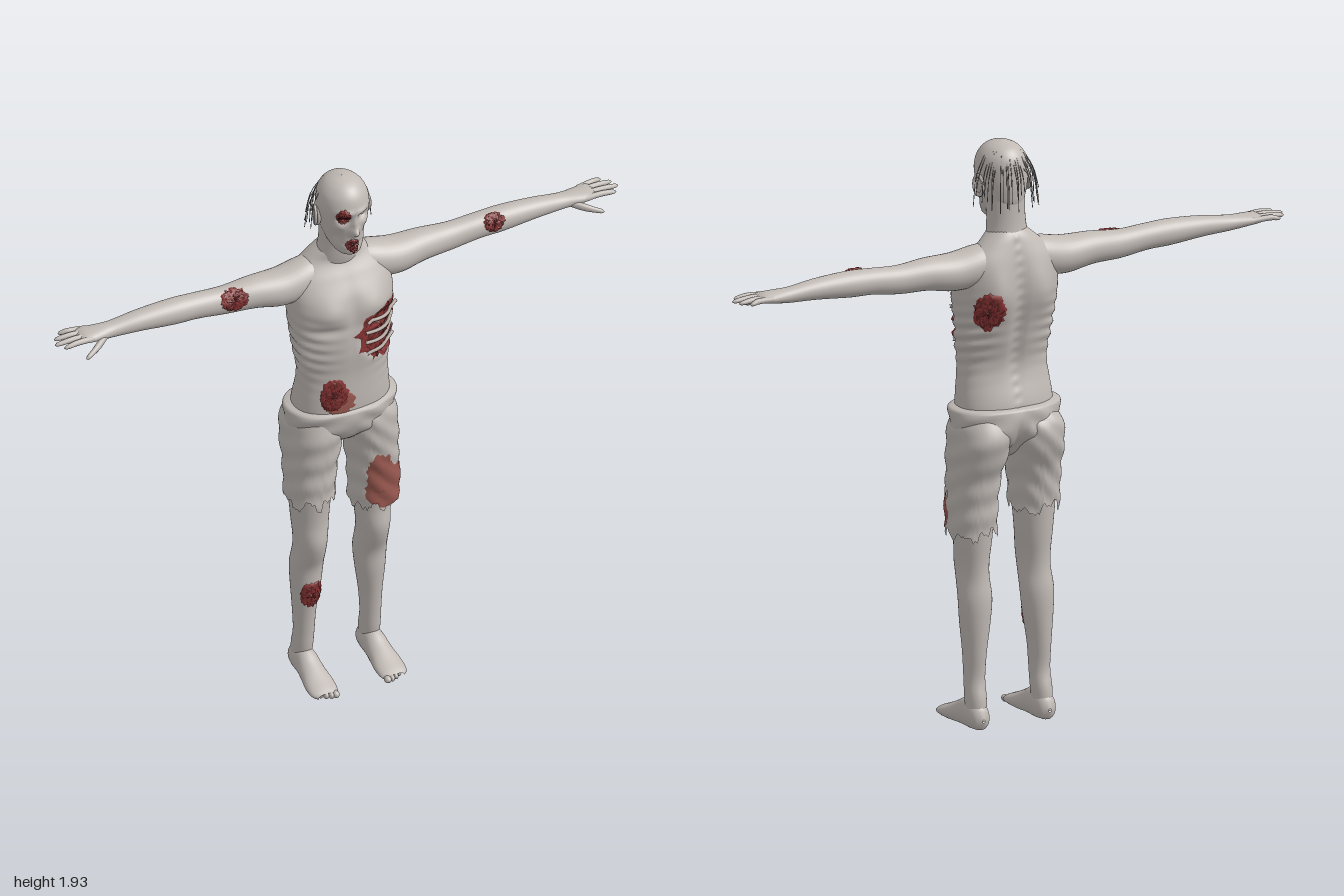
import * as THREE from 'three';

const mat = (name, color, side = THREE.FrontSide) => {
  const m = new THREE.MeshStandardMaterial({ color, side });
  m.name = name;
  return m;
};
const hash = (i) => { const v = Math.sin(i * 12.9898 + 4.1) * 43758.5453; return v - Math.floor(v); };
const gauss = (x, y, cx, cy, sx, sy) => Math.exp(-(((x - cx) / sx) ** 2) - ((y - cy) / sy) ** 2);
const spow = (v, e) => Math.sign(v) * Math.abs(v) ** e;

// Smooth interpolation of the section rows [t, centre1, centre2, radius1, radius2]
function sample(rows, t) {
  let i = 0;
  while (i < rows.length - 2 && t > rows[i + 1][0]) i++;
  const a = rows[i], b = rows[i + 1], p = rows[Math.max(i - 1, 0)], q = rows[Math.min(i + 2, rows.length - 1)];
  const h = b[0] - a[0], u = (t - a[0]) / h, u2 = u * u, u3 = u2 * u;
  return [1, 2, 3, 4].map((k) => {
    const m0 = (b[k] - p[k]) / (b[0] - p[0]) * h, m1 = (q[k] - a[k]) / (q[0] - a[0]) * h;
    return (2 * u3 - 3 * u2 + 1) * a[k] + (u3 - 2 * u2 + u) * m0 + (3 * u2 - 2 * u3) * b[k] + (u3 - u2) * m1;
  });
}

// Surface function (t, angle) -> point, running along x, y or z; s mirrors it
function surface(rows, axis, s = 1, e = 1, shape = null) {
  const f = (t, a) => {
    const [c1, c2, r1, r2] = sample(rows, t);
    const c = spow(Math.cos(a), e), n = spow(Math.sin(a), e);
    const R1 = Math.max(r1, 0.0005), R2 = Math.max(r2, 0.0005);
    const p = axis === 'y' ? new THREE.Vector3(s * c1 + R1 * c, t, c2 + R2 * n)
      : axis === 'x' ? new THREE.Vector3(s * t, c1 + R1 * n, c2 + R2 * c)
        : new THREE.Vector3(s * c1 + R1 * c, c2 + R2 * n, t);
    if (shape) shape(p, a);
    return p;
  };
  f.range = [rows[0][0], rows[rows.length - 1][0]];
  f.flip = axis === 'z' || (axis === 'x' && s < 0);
  f.normal = (t, a) => {
    const d = 0.004;
    const n = f(t + d, a).sub(f(t - d, a)).cross(f(t, a + d).sub(f(t, a - d))).normalize();
    return f.flip ? n.negate() : n;
  };
  return f;
}

// Grid of points closed around the second direction
function gridMesh(name, material, fn, nu, na, flip) {
  const pos = [], idx = [];
  for (let i = 0; i <= nu; i++) for (let j = 0; j < na; j++) pos.push(...fn(i / nu, j, na).toArray());
  for (let i = 0; i < nu; i++) for (let j = 0; j < na; j++) {
    const k = (j + 1) % na, a = i * na + j, b = a + na, c = i * na + k, d = c + na;
    if (flip) idx.push(a, c, b, b, c, d); else idx.push(a, b, c, b, d, c);
  }
  const g = new THREE.BufferGeometry();
  g.setAttribute('position', new THREE.Float32BufferAttribute(pos, 3));
  g.setIndex(idx);
  g.computeVertexNormals();
  const m = new THREE.Mesh(g, material);
  m.name = name;
  return m;
}
const loft = (name, material, f, nu = 40, na = 40) => gridMesh(name, material,
  (u, j, n) => f(f.range[0] + (f.range[1] - f.range[0]) * u, j / n * Math.PI * 2), nu, na, f.flip);

// Ragged patch lying on a surface
function patch(name, material, f, t0, a0, rt, ra, seed, low = 0.003, bump = 0.004, rough = 0.25) {
  return gridMesh(name, material, (u, j, n) => {
    const th = j / n * Math.PI * 2, k = u * (1 - rough * hash(j + seed * 50) * u);
    const t = t0 + rt * k * Math.sin(th), a = a0 + ra * k * Math.cos(th);
    const h = u === 1 ? low - 0.002 : low + bump * (u === 0 ? 0.5 : hash(j * 7 + Math.round(u * 9) * 131 + seed));
    return f(t, a).addScaledVector(f.normal(t, a), h);
  }, 9, 40, !f.flip);
}

export function createModel() {
  const root = new THREE.Group();
  root.name = 'undeadMan';
  const skin = mat('paleSkin', 0xc0b9b4), cloth = mat('shortsCloth', 0xbfb9b4, THREE.DoubleSide);
  const red = mat('woundRed', 0x873434), dark = mat('woundDark', 0x662424), stain = mat('bloodStain', 0x98584f);
  const bone = mat('ribBone', 0xb0a29c), hairMat = mat('hairGrey', 0x96908b), eyeMat = mat('cloudedWhite', 0xcac4bd);
  const add = (...m) => root.add(...m);
  const tube = (name, material, pts, r, seg = 10, sides = 8) => {
    const m = new THREE.Mesh(new THREE.TubeGeometry(new THREE.CatmullRomCurve3(pts), seg, r, sides), material);
    m.name = name;
    return m;
  };
  const blob = (name, material, x, y, z, sx, sy, sz) => {
    const m = new THREE.Mesh(new THREE.SphereGeometry(1, 16, 12), material);
    m.position.set(x, y, z);
    m.scale.set(sx, sy, sz);
    m.name = name;
    return m;
  };
  const wound = (name, f, t, a, rt, ra, seed) => add(
    patch(name, red, f, t, a, rt, ra, seed),
    patch(name + 'Clots', dark, f, t, a, rt * 0.92, ra * 0.92, seed + 3, 0.001, 0.0075));

  // Torso with chest, ribs, shoulder blades, spine and a sunken wound
  const torsoShape = (p, a) => {
    const { x, y } = p, ax = Math.abs(x), front = Math.max(0, Math.sin(a)), back = Math.max(0, -Math.sin(a));
    p.z += front * (0.016 * gauss(ax, y, 0.085, 1.46, 0.055, 0.04) - 0.006 * gauss(x, y, 0, 1.42, 0.02, 0.12)
      - 0.01 * gauss(ax, y, 0.09, 1.395, 0.06, 0.018));
    p.z -= back * (0.022 * gauss(ax, y, 0.085, 1.46, 0.05, 0.08) - 0.014 * gauss(x, y, 0, 1.35, 0.022, 0.22)
      + 0.004 * gauss(x, 0, 0, 0, 0.008, 1) * (0.5 + 0.5 * Math.sin(y * 170)));
    const band = gauss(0, y, 0, 1.31, 1, 0.1) * Math.min(1, ax / 0.14) ** 2;
    const w = 0.004 * band * Math.sin(y * 150 + Math.sin(a) * 4);
    p.x += w * Math.cos(a);
    p.z += w * Math.sin(a);
    const d = ((y - 1.34) / 0.1) ** 2 + ((a - 0.83) / 0.7) ** 2;
    if (d < 1) {
      const k = 0.016 * Math.min(1, (1 - d) * 2.5);
      p.x -= k * Math.cos(a);
      p.z -= k * Math.sin(a);
    }
  };
  const torso = surface([[1.0, 0, -0.015, 0.16, 0.1], [1.07, 0, -0.014, 0.165, 0.106], [1.2, 0, 0, 0.154, 0.09],
    [1.3, 0, -0.005, 0.165, 0.104], [1.42, 0, -0.017, 0.178, 0.115], [1.5, 0, -0.025, 0.178, 0.107],
    [1.56, 0, -0.04, 0.165, 0.085], [1.61, 0, -0.05, 0.11, 0.062], [1.645, 0, -0.042, 0.07, 0.056],
    [1.67, 0, -0.035, 0.04, 0.04]], 'y', 1, 0.9, torsoShape);
  add(loft('torso', skin, torso, 90, 96));

  // Chest wound with bare ribs across it
  wound('chestWound', torso, 1.34, 0.83, 0.117, 0.8, 5);
  for (let i = 0; i < 4; i++) {
    const pts = [];
    for (let k = 0; k <= 6; k++) {
      const a = 0.25 + k * 0.19, y = 1.285 + i * 0.038 - 0.014 * Math.sin(k / 6 * Math.PI);
      pts.push(torso(y, a).add(new THREE.Vector3(Math.cos(a), 0, Math.sin(a)).multiplyScalar(0.011)));
    }
    add(tube('bareRib', bone, pts, 0.006, 20));
  }
  wound('backWound', torso, 1.405, -0.95, 0.072, 0.38, 11);
  add(patch('bellyStain', stain, torso, 1.105, 1.85, 0.055, 0.32, 8, 0.0025, 0));
  wound('bellyWound', torso, 1.14, 1.98, 0.07, 0.36, 17);

  // Neck
  add(loft('neck', skin, surface([[1.56, 0, -0.055, 0.09, 0.06], [1.62, 0, -0.038, 0.073, 0.06],
    [1.68, 0, -0.03, 0.064, 0.059], [1.76, 0, -0.025, 0.064, 0.06]], 'y'), 16, 32));

  // Head and face
  const headShape = (p, a) => {
    if (Math.sin(a) <= 0) return;
    const { x, y } = p, ax = Math.abs(x);
    p.z += Math.sin(a) * (0.026 * gauss(x, y, 0, 1.772, 0.014, 0.016) + 0.012 * gauss(x, y, 0, 1.8, 0.01, 0.025)
      - 0.022 * gauss(ax, y, 0.035, 1.822, 0.018, 0.014) + 0.007 * gauss(ax, y, 0.03, 1.848, 0.03, 0.01)
      + 0.008 * gauss(ax, y, 0.05, 1.79, 0.016, 0.014) - 0.012 * gauss(ax, y, 0.052, 1.745, 0.018, 0.022)
      + 0.006 * gauss(x, y, 0, 1.692, 0.022, 0.012) - 0.008 * gauss(x, y, 0, 1.722, 0.024, 0.007));
  };
  const head = surface([[1.67, 0, 0.05, 0.008, 0.01], [1.678, 0, 0.046, 0.034, 0.036], [1.7, 0, 0.025, 0.052, 0.065],
    [1.73, 0, 0.006, 0.064, 0.086], [1.78, 0, 0, 0.076, 0.092], [1.84, 0, 0.003, 0.084, 0.096],
    [1.885, 0, 0.001, 0.077, 0.088], [1.915, 0, 0, 0.056, 0.066], [1.93, 0, 0, 0.03, 0.036],
    [1.936, 0, 0, 0.001, 0.001]], 'y', 1, 1, headShape);
  add(loft('head', skin, head, 90, 80));
  add(blob('eye', eyeMat, 0.035, 1.822, 0.062, 0.013, 0.011, 0.011));
  wound('eyeWound', head, 1.835, 2.02, 0.033, 0.3, 23);
  wound('mouthWound', head, 1.718, 1.66, 0.03, 0.4, 31);
  for (let i = -2; i <= 2; i++) add(blob('tooth', eyeMat, i * 0.008, 1.727, 0.092 - 0.002 * i * i, 0.0035, 0.006, 0.004));
  for (const s of [1, -1]) {
    add(blob('ear', skin, s * 0.083, 1.795, -0.01, 0.01, 0.036, 0.022));
    const rim = new THREE.Mesh(new THREE.TorusGeometry(0.022, 0.005, 8, 20), skin);
    rim.name = 'earRim';
    rim.position.set(s * 0.09, 1.8, -0.012);
    rim.rotation.y = Math.PI / 2 + s * 0.25;
    rim.scale.y = 1.45;
    add(rim);
  }

  // Sparse hanging hair
  for (let i = 0; i < 26; i++) {
    const a = -Math.PI * (0.04 + 0.92 * (i + hash(i)) / 26), y = 1.84 + 0.06 * hash(i + 90);
    const end = 1.72 + 0.08 * hash(i + 200), out = 0.008 + 0.03 * hash(i + 300);
    const dir = new THREE.Vector3(Math.cos(a), 0, Math.sin(a));
    const mid = head(1.835, a).addScaledVector(dir, 0.006 + out * 0.4);
    const pts = [head(y + 0.015, a), mid, new THREE.Vector3(mid.x, end, mid.z).addScaledVector(dir, out * 0.5)];
    add(tube('hairStrand', hairMat, pts, 0.0014, 8, 4));
  }

  // Arms, hands and fingers
  const armRows = [[0.03, 1.56, -0.05, 0.045, 0.04], [0.1, 1.55, -0.045, 0.064, 0.063], [0.2, 1.535, -0.04, 0.062, 0.066],
    [0.3, 1.542, -0.042, 0.053, 0.055], [0.4, 1.54, -0.045, 0.047, 0.044], [0.5, 1.549, -0.045, 0.043, 0.042],
    [0.58, 1.552, -0.045, 0.043, 0.043], [0.7, 1.554, -0.046, 0.034, 0.037], [0.8, 1.55, -0.047, 0.025, 0.031],
    [0.85, 1.552, -0.047, 0.021, 0.037], [0.9, 1.555, -0.049, 0.014, 0.042], [0.915, 1.556, -0.049, 0.004, 0.034]];
  const fingers = [[-0.08, -0.093, 0.962], [-0.06, -0.067, 0.988], [-0.038, -0.039, 0.998], [-0.017, -0.012, 0.978]];
  for (const s of [1, -1]) {
    const arm = surface(armRows, 'x', s);
    add(loft(s > 0 ? 'leftArm' : 'rightArm', skin, arm, 60, 32));
    if (s > 0) wound('leftArmWound', arm, 0.545, 0.5, 0.039, 0.9, 41);
    else wound('rightArmWound', arm, 0.378, 0.45, 0.052, 0.95, 47);
    for (const [z0, z1, tip] of fingers) {
      add(loft('finger', skin, surface([[0.87, 1.555, z0, 0.009, 0.009], [0.93, 1.558, (z0 + z1) / 2, 0.0095, 0.0095],
        [tip - 0.008, 1.554, z1, 0.0065, 0.0065], [tip, 1.553, z1, 0.001, 0.001]], 'x', s), 16, 12));
    }
    add(loft('thumb', skin, surface([[0.82, 1.545, -0.03, 0.012, 0.012], [0.855, 1.535, -0.006, 0.014, 0.013],
      [0.89, 1.525, 0.014, 0.01, 0.01], [0.912, 1.519, 0.024, 0.007, 0.007], [0.918, 1.518, 0.026, 0.001, 0.001]], 'x', s), 16, 14));
  }

  // Legs, feet and torn shorts
  const legRows = [[0.03, 0.12, -0.055, 0.03, 0.038], [0.1, 0.119, -0.046, 0.034, 0.042], [0.16, 0.118, -0.036, 0.034, 0.037],
    [0.25, 0.117, -0.035, 0.038, 0.045], [0.35, 0.114, -0.032, 0.049, 0.054], [0.43, 0.112, -0.029, 0.055, 0.057],
    [0.5, 0.111, -0.01, 0.051, 0.066], [0.55, 0.111, -0.004, 0.053, 0.071], [0.62, 0.11, -0.01, 0.06, 0.07],
    [0.75, 0.11, -0.01, 0.07, 0.078], [0.85, 0.108, -0.01, 0.07, 0.08]];
  const footRows = [[-0.104, 0.12, 0.035, 0.004, 0.006], [-0.095, 0.12, 0.038, 0.025, 0.032], [-0.06, 0.12, 0.045, 0.036, 0.05],
    [-0.01, 0.12, 0.045, 0.038, 0.052], [0.04, 0.121, 0.032, 0.043, 0.04], [0.09, 0.122, 0.022, 0.049, 0.027],
    [0.13, 0.122, 0.016, 0.045, 0.017], [0.146, 0.12, 0.014, 0.032, 0.011]];
  const shortRows = [[0.6, 0.112, -0.005, 0.079, 0.084], [0.75, 0.112, -0.008, 0.08, 0.091], [0.85, 0.108, -0.014, 0.085, 0.1],
    [0.93, 0.1, -0.025, 0.094, 0.118], [1.0, 0.094, -0.026, 0.092, 0.118], [1.055, 0.09, -0.018, 0.07, 0.09]];
  const folds = (p, a) => {
    const w = 0.0025 * Math.sin(p.y * 75 + Math.abs(p.x) * 45 + Math.sin(a * 2) * 2);
    p.x += w * Math.cos(a);
    p.z += w * Math.sin(a);
  };
  for (const s of [1, -1]) {
    const side = s > 0 ? 'left' : 'right';
    const leg = surface(legRows, 'y', s);
    add(loft(side + 'Leg', skin, leg, 50, 36));
    add(loft(side + 'Foot', skin, surface(footRows, 'z', s, 1, (p) => { p.y = Math.max(0.002, p.y); }), 40, 32));
    for (let i = 0; i < 5; i++) {
      add(blob('toe', skin, s * (0.092 + i * 0.0155), 0.013, 0.145 - i * i * 0.0022, i ? 0.009 : 0.012, 0.012, 0.015));
    }
    if (s < 0) wound('shinWound', leg, 0.33, Math.PI / 2, 0.056, 0.95, 53);

    const short = surface(shortRows, 'y', s, 0.92, folds);
    const base = s > 0 ? 0.615 : 0.675;
    add(gridMesh(side + 'ShortsLeg', cloth, (u, j, n) => {
      const a = j / n * Math.PI * 2;
      const hem = base + 0.045 * hash(Math.floor(j / 3) + s * 9) + 0.02 * hash(j + 70);
      return short(hem + (1.055 - hem) * u, a);
    }, 40, 72, false));
    if (s > 0) {
      add(patch('shortsStainLow', stain, short, 0.72, 1.2, 0.082, 1.25, 61, 0.004, 0, 0.15));
      add(patch('shortsStainHigh', stain, short, 0.775, 1.7, 0.09, 0.65, 67, 0.0045, 0, 0.25));
    }
  }
  const hips = surface([[0.885, 0, -0.025, 0.01, 0.02], [0.92, 0, -0.025, 0.06, 0.06], [0.97, 0, -0.024, 0.165, 0.11],
    [1.02, 0, -0.02, 0.187, 0.12], [1.066, 0, -0.016, 0.187, 0.12], [1.073, 0, -0.016, 0.16, 0.1]], 'y', 1, 0.92, (p, a) => {
    folds(p, a);
    if (Math.sin(a) < 0) p.z += 0.025 * gauss(p.x, p.y, 0, 0.95, 0.018, 0.06);
  });
  add(loft('shortsHips', cloth, hips, 40, 72));
  return root;
}
